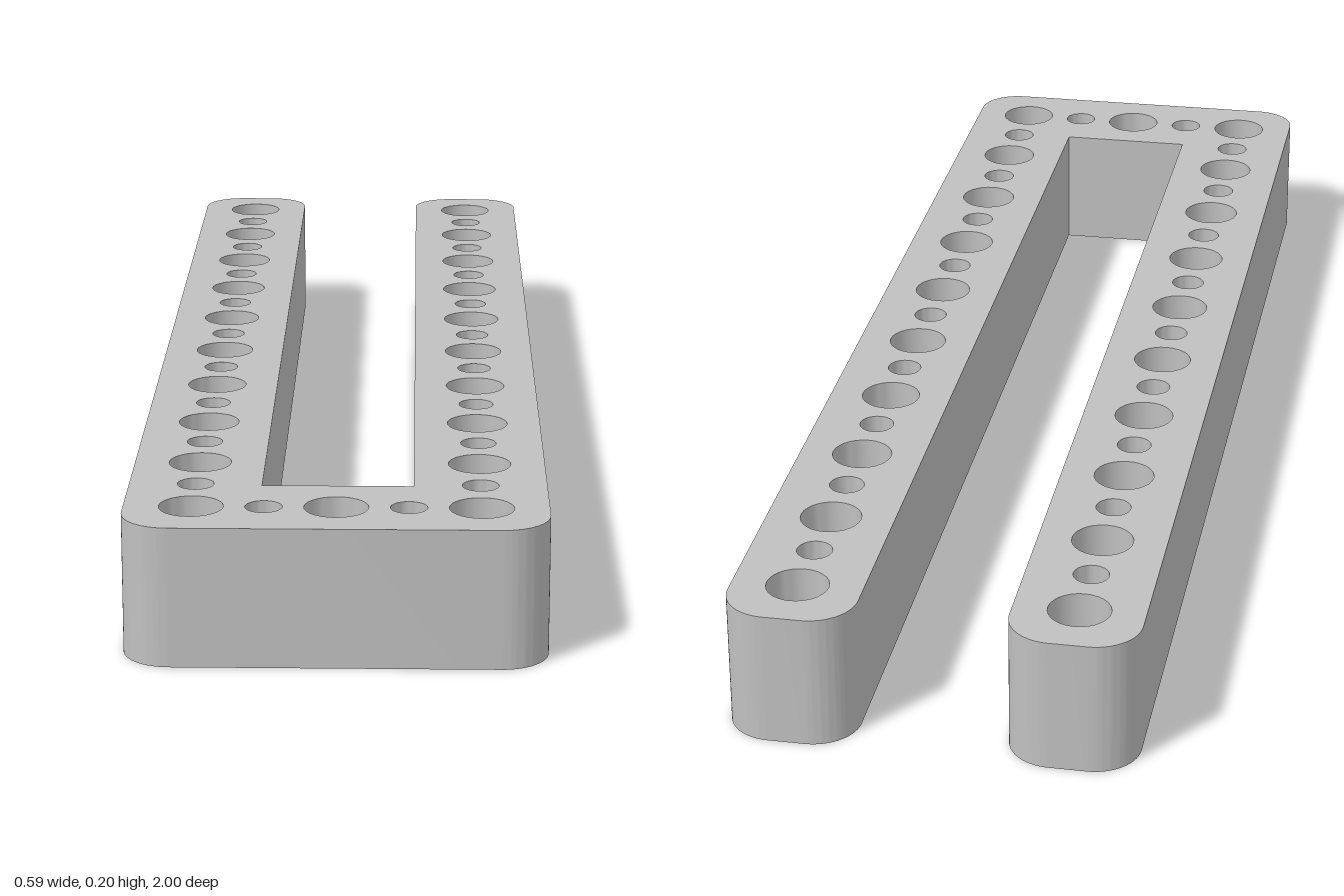
import * as THREE from 'three';
import { toCreasedNormals } from 'three/addons/utils/BufferGeometryUtils.js';

const OUTER = 0.295;   // half width of the frame
const INNER = 0.107;   // half width of the slot
const SLOT_END = 0.81; // z where the crossbar begins
const HEIGHT = 0.201;
const CORNER = 0.067;
const PITCH = 0.201;   // spacing of the large holes
const LARGE = 0.045;
const SMALL = 0.026;

export function createModel() {
  const group = new THREE.Group();
  group.name = 'perforatedFrame';
  const grey = new THREE.MeshStandardMaterial({ color: 0xc0c0c0 });
  grey.name = 'light grey';

  // U-shaped outline, drawn with shape y = -z; outer and arm-tip corners are rounded
  const r = CORNER;
  const outline = new THREE.Shape();
  const corner = (x, y, start) => outline.absarc(x, y, r, start, start + Math.PI / 2, false);
  corner(-OUTER + r, -1 + r, Math.PI);
  corner(OUTER - r, -1 + r, -Math.PI / 2);
  corner(OUTER - r, 1 - r, 0);
  corner(INNER + r, 1 - r, Math.PI / 2);
  outline.lineTo(INNER, -SLOT_END);
  outline.lineTo(-INNER, -SLOT_END);
  corner(-INNER - r, 1 - r, 0);
  corner(-OUTER + r, 1 - r, Math.PI / 2);
  outline.closePath();

  const addHole = (x, z, radius) => {
    const hole = new THREE.Path();
    hole.absarc(x, -z, radius, 0, Math.PI * 2, true);
    outline.holes.push(hole);
  };

  // alternating large and small holes along both arms
  for (const side of [-1, 1]) {
    for (let i = 0; i < 19; i++) {
      addHole(side * PITCH, (9 - i) * PITCH / 2, i % 2 ? SMALL : LARGE);
    }
    addHole(side * PITCH / 2, 4.5 * PITCH, SMALL);
  }
  // middle of the crossbar
  addHole(0, 4.5 * PITCH, LARGE);

  const geometry = new THREE.ExtrudeGeometry(outline, {
    depth: HEIGHT, bevelEnabled: false, curveSegments: 14,
  });
  geometry.rotateX(-Math.PI / 2);
  const frame = new THREE.Mesh(toCreasedNormals(geometry, 0.6), grey);
  frame.name = 'frame';
  group.add(frame);
  return group;
}
